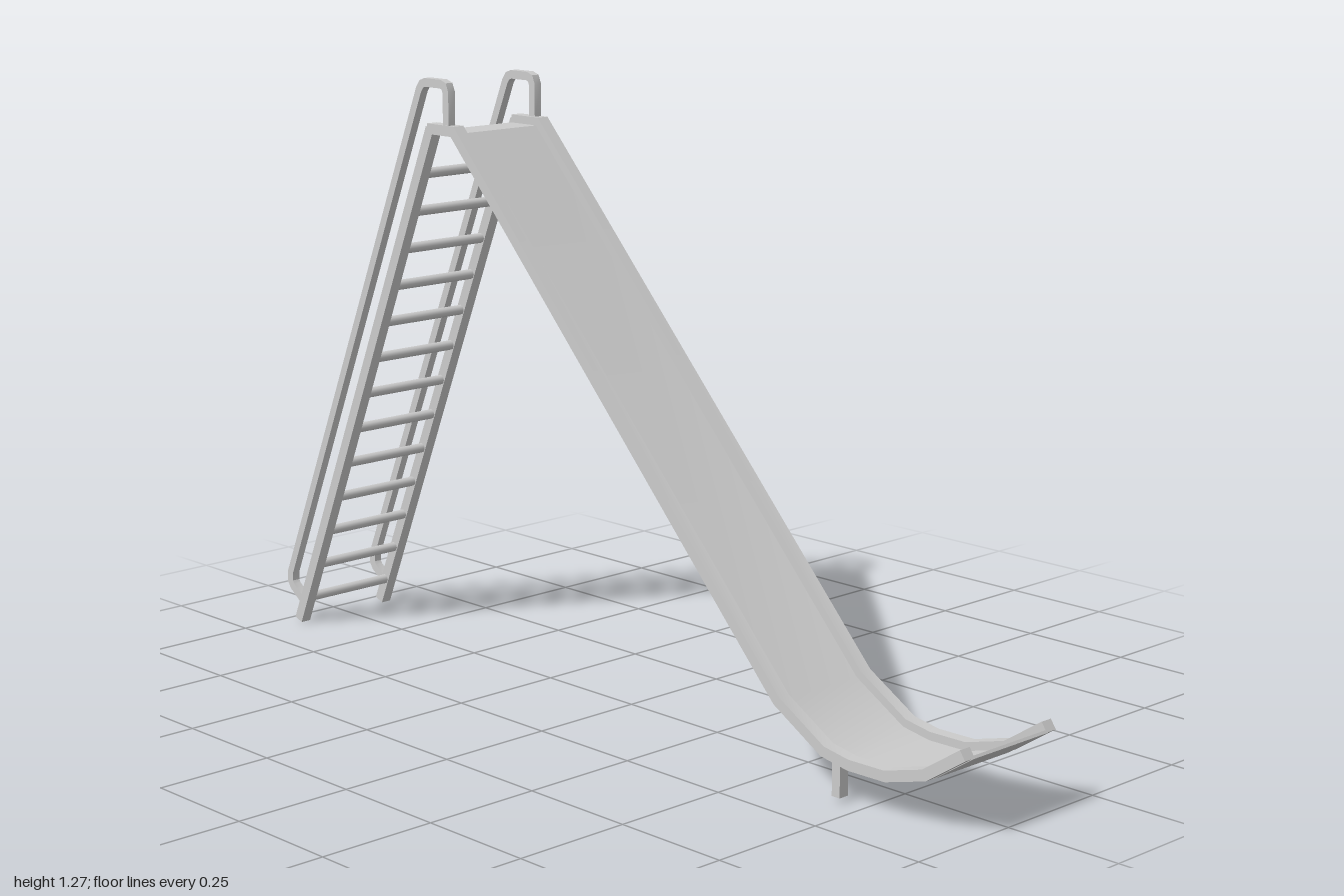
import * as THREE from 'three';
import { toCreasedNormals } from 'three/addons/utils/BufferGeometryUtils.js';

const material = new THREE.MeshStandardMaterial({ color: 0xcccccc });

// Solid band following a path in the xy plane, mitred at the bends;
// lo..hi is its extent along the path normal, z0..z1 its extent in depth.
function band(name, path, lo, hi, z0, z1) {
  const pts = path.map(([x, y]) => new THREE.Vector2(x, y));
  const normal = (a, b) => new THREE.Vector2(a.y - b.y, b.x - a.x).normalize();
  const offset = (d) => pts.map((p, i) => {
    const n0 = normal(pts[Math.max(i - 1, 0)], pts[Math.max(i, 1)]);
    const last = pts.length - 1;
    const n1 = normal(pts[Math.min(i, last - 1)], pts[Math.min(i + 1, last)]);
    const m = n0.clone().add(n1).normalize();
    return p.clone().addScaledVector(m, d / m.dot(n0));
  });
  const shape = new THREE.Shape([...offset(lo), ...offset(hi).reverse()]);
  const extruded = new THREE.ExtrudeGeometry(shape, { depth: z1 - z0, bevelEnabled: false });
  extruded.translate(0, 0, z0);
  const mesh = new THREE.Mesh(toCreasedNormals(extruded, 0.6), material);
  mesh.name = name;
  return mesh;
}

export function createModel() {
  const model = new THREE.Group();
  model.name = 'playgroundSlide';

  // Platform, straight run and upturned run-out
  const slidePath = [
    [-0.478, 1.167], [-0.398, 1.167], [0.535, 0.163], [0.655, 0.092],
    [0.72, 0.081], [0.81, 0.082], [0.905, 0.108], [0.995, 0.168],
  ];
  const ladderFoot = [-0.962, 0.005];
  const ladderTop = [-0.472, 1.167];
  const handrailPath = [
    [-0.95, 0.055], [-0.983, 0.079], [-0.99, 0.09], [-0.989, 0.112],
    [-0.506, 1.246], [-0.497, 1.258], [-0.486, 1.262],
    [-0.436, 1.262], [-0.425, 1.258], [-0.42, 1.246], [-0.42, 1.167],
  ];

  model.add(band('slideBed', slidePath, -0.012, -0.006, -0.107, 0.107));

  // Matching parts on both sides
  for (const [side, s] of [['Front', 1], ['Back', -1]]) {
    const pair = (name, path, half, inner, outer) => model.add(band(
      name + side, path, -half, half, Math.min(s * inner, s * outer), Math.max(s * inner, s * outer)));
    pair('slideRail', slidePath, 0.011, 0.103, 0.13);
    pair('ladderStringer', [ladderFoot, ladderTop], 0.012, 0.105, 0.129);
    pair('handrail', handrailPath, 0.009, 0.11, 0.128);
    pair('slideLeg', [[0.69, 0.01], [0.69, 0.083]], 0.01, 0.106, 0.129);
  }

  // Ladder rungs
  const rungGeometry = new THREE.CylinderGeometry(0.011, 0.011, 0.22, 8).rotateX(Math.PI / 2);
  const slope = (ladderTop[0] - ladderFoot[0]) / (ladderTop[1] - ladderFoot[1]);
  for (let i = 0; i < 13; i++) {
    const y = 0.06 + i * 0.084;
    const rung = new THREE.Mesh(rungGeometry, material);
    rung.name = 'rung' + (i + 1);
    rung.position.set(ladderFoot[0] + (y - ladderFoot[1]) * slope, y, 0);
    model.add(rung);
  }
  return model;
}
